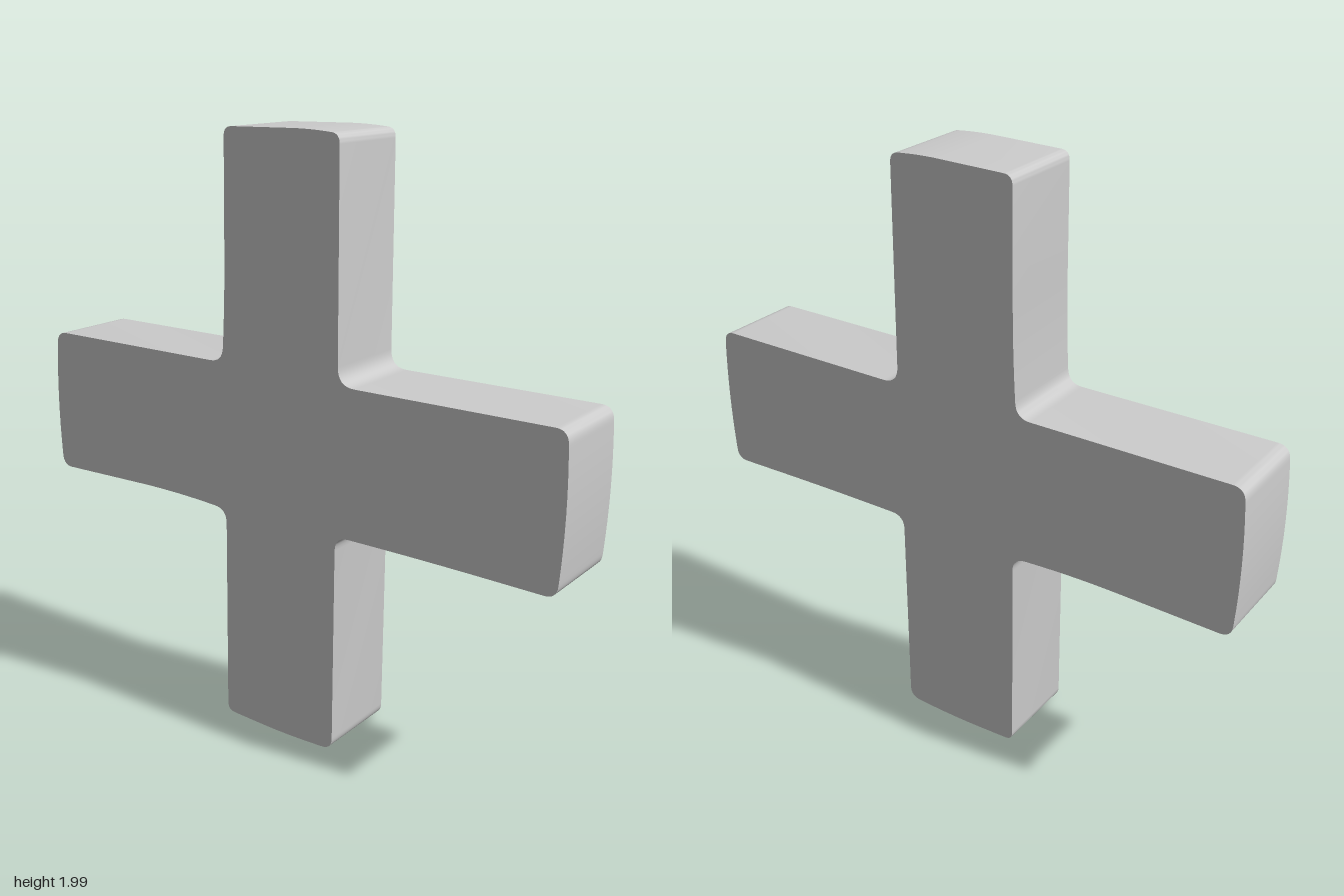
import * as THREE from 'three';
import { toCreasedNormals } from 'three/addons/utils/BufferGeometryUtils.js';

const DEPTH = 0.297;

// Outline of the cross: corners as [x, y, rounding radius], counter-clockwise
const CORNERS = [
  [0.217, -0.988, 0.04], [0.217, -0.24, 0.05],
  [0.55, -0.24, 0.2], [0.972, -0.249, 0.04], [0.99, 0, 0.2], [0.974, 0.246, 0.04],
  [0.219, 0.243, 0.06], [0.213, 0.985, 0.03],
  [0.1, 0.993, 0.06], [-0.213, 0.985, 0.03], [-0.216, 0.45, 0.15], [-0.228, 0.249, 0.05],
  [-0.972, 0.246, 0.04], [-0.99, 0, 0.2], [-0.972, -0.246, 0.04],
  [-0.45, -0.233, 0.15], [-0.217, -0.247, 0.05],
  [-0.218, -0.984, 0.03], [0.03, -0.996, 0.12],
];

// Closed outline whose corners are replaced by quadratic curves
function roundedOutline(corners) {
  const shape = new THREE.Shape();
  const points = corners.map(([x, y]) => new THREE.Vector2(x, y));
  const toward = (a, b, r) => a.clone().add(b.clone().sub(a).setLength(r));
  const n = points.length;
  points.forEach((p, i) => {
    const r = corners[i][2];
    const start = toward(p, points[(i + n - 1) % n], r);
    const end = toward(p, points[(i + 1) % n], r);
    if (i === 0) shape.moveTo(start.x, start.y);
    else shape.lineTo(start.x, start.y);
    shape.quadraticCurveTo(p.x, p.y, end.x, end.y);
  });
  shape.closePath();
  return shape;
}

export function createModel() {
  const group = new THREE.Group();
  group.name = 'plusSign';

  // Thick slab with softened corners and sharp front and back rims
  const slab = new THREE.ExtrudeGeometry(roundedOutline(CORNERS), {
    depth: DEPTH, bevelEnabled: false, curveSegments: 8,
  });
  slab.translate(0, 0, -DEPTH / 2);
  const cross = new THREE.Mesh(
    toCreasedNormals(slab, 0.6),
    new THREE.MeshStandardMaterial({ color: 0xcccccc }),
  );
  cross.name = 'cross';

  // Slightly turned and tilted stance
  cross.rotation.set(-0.0125, 0.084, 0);
  cross.position.y = 1;
  group.add(cross);
  return group;
}
